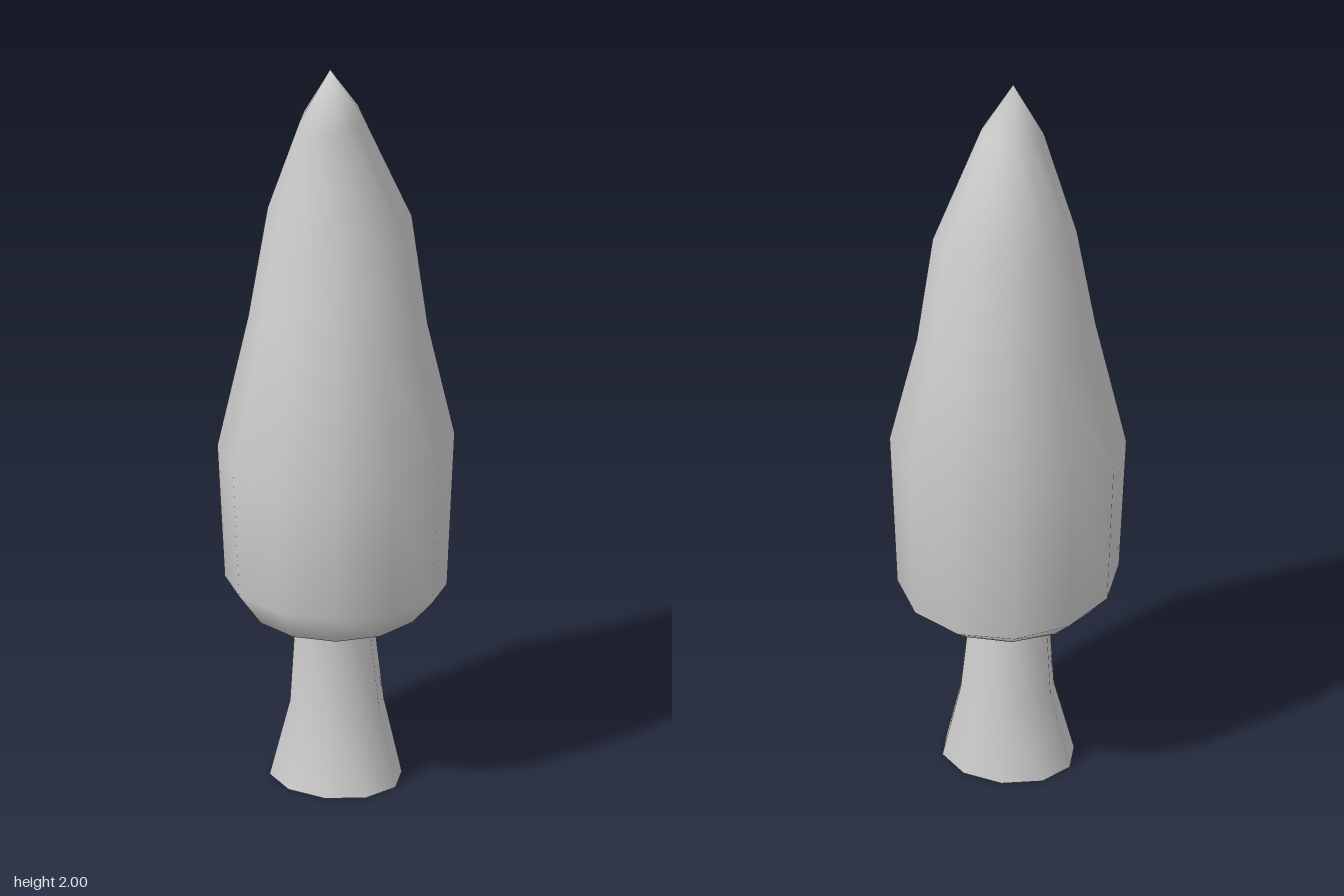
import * as THREE from 'three';

// Skin a stack of rings (listed top to bottom) with smooth shared normals.
// Ring: { x: [left, right], z: [back, front], y, tiltX, tiltZ }; a ring with only p is a single pole point.
function loft(name, rings, sides, material) {
  const positions = [], index = [], starts = [];
  for (const r of rings) {
    starts.push(positions.length / 3);
    if (r.p) { positions.push(...r.p); continue; }
    const cx = (r.x[0] + r.x[1]) / 2, rx = (r.x[1] - r.x[0]) / 2;
    const cz = (r.z[0] + r.z[1]) / 2, rz = (r.z[1] - r.z[0]) / 2;
    for (let j = 0; j < sides; j++) {
      const a = (j / sides) * Math.PI * 2, c = Math.cos(a), s = Math.sin(a);
      positions.push(cx + rx * c, r.y + (r.tiltX || 0) * c + (r.tiltZ || 0) * s, cz + rz * s);
    }
  }
  const at = (i, j) => starts[i] + (rings[i].p ? 0 : j % sides);
  for (let i = 0; i < rings.length - 1; i++) {
    for (let j = 0; j < sides; j++) {
      const a = at(i, j), b = at(i, j + 1), c = at(i + 1, j), d = at(i + 1, j + 1);
      if (a !== b) index.push(a, b, c);
      if (c !== d) index.push(b, d, c);
    }
  }
  const geometry = new THREE.BufferGeometry();
  geometry.setAttribute('position', new THREE.Float32BufferAttribute(positions, 3));
  geometry.setIndex(index);
  geometry.computeVertexNormals();
  const mesh = new THREE.Mesh(geometry, material);
  mesh.name = name;
  return mesh;
}

export function createModel() {
  const group = new THREE.Group();
  group.name = 'tree';

  // Foliage: tapering crown with slightly tilted, off-centre rings
  const foliage = loft('foliage', [
    { p: [0, 2, 0.03] },
    { x: [-0.08, 0.08], z: [-0.055, 0.107], y: 1.86, tiltZ: -0.02 },
    { x: [-0.19, 0.185], z: [-0.197, 0.15], y: 1.575, tiltX: -0.025, tiltZ: -0.025 },
    { x: [-0.227, 0.227], z: [-0.245, 0.225], y: 1.275, tiltZ: 0.025 },
    { x: [-0.302, 0.302], z: [-0.305, 0.305], y: 0.942, tiltZ: -0.033 },
    { x: [-0.284, 0.281], z: [-0.289, 0.285], y: 0.543, tiltZ: 0.025 },
    { x: [-0.222, 0.222], z: [-0.23, 0.222], y: 0.475 },
    { x: [-0.09, 0.09], z: [-0.09, 0.09], y: 0.44 },
    { p: [0, 0.437, 0] },
  ], 12, new THREE.MeshStandardMaterial({ color: 0xcccccc }));

  // Trunk: open tube flaring towards the ground
  const trunk = loft('trunk', [
    { x: [-0.103, 0.103], z: [-0.083, 0.1], y: 0.45 },
    { x: [-0.125, 0.123], z: [-0.118, 0.105], y: 0.205 },
    { x: [-0.176, 0.176], z: [-0.153, 0.156], y: 0 },
  ], 10, new THREE.MeshStandardMaterial({ color: 0xcccccc, side: THREE.DoubleSide }));

  group.add(foliage, trunk);
  return group;
}
